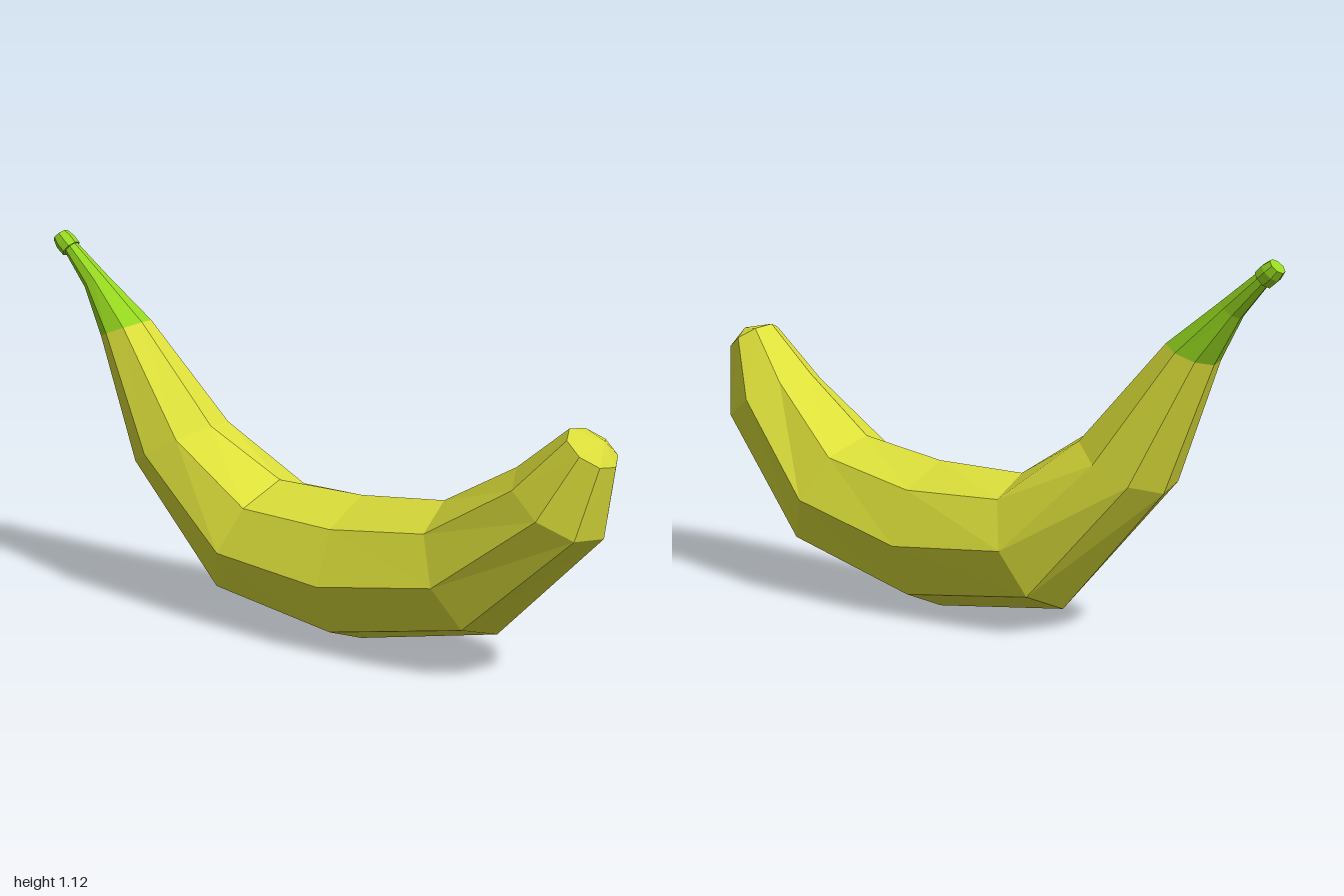
import * as THREE from 'three';

const SIDES = 8;

// Each ring: [outer x, outer y, inner x, inner y, centre z, roll]
function ringPoints([ox, oy, ix, iy, z, roll]) {
  const centre = new THREE.Vector3((ox + ix) / 2, (oy + iy) / 2, z);
  const radius = Math.hypot(ix - ox, iy - oy) / 2;
  const inward = new THREE.Vector3(ix - ox, iy - oy, 0).normalize();
  const points = [];
  for (let i = 0; i < SIDES; i++) {
    const a = (i / SIDES) * Math.PI * 2 - roll;
    points.push(centre.clone()
      .addScaledVector(inward, radius * Math.cos(a))
      .add(new THREE.Vector3(0, 0, radius * Math.sin(a))));
  }
  return points;
}

// Skin a row of rings, with an optional pointed or flat cap at either end
function loft(name, rings, color, startCap, endCap) {
  const loops = rings.map(ringPoints);
  const verts = [];
  const tri = (...pts) => pts.forEach((p) => verts.push(p.x, p.y, p.z));
  for (let k = 0; k < loops.length - 1; k++) {
    for (let i = 0; i < SIDES; i++) {
      const j = (i + 1) % SIDES;
      const [a, b, c, d] = [loops[k][i], loops[k][j], loops[k + 1][j], loops[k + 1][i]];
      tri(a, b, c);
      tri(a, c, d);
    }
  }
  const first = loops[0], last = loops[loops.length - 1];
  for (let i = 0; i < SIDES; i++) {
    const j = (i + 1) % SIDES;
    if (startCap) tri(new THREE.Vector3(...startCap), first[j], first[i]);
    if (endCap) tri(new THREE.Vector3(...endCap), last[i], last[j]);
  }
  const geometry = new THREE.BufferGeometry();
  geometry.setAttribute('position', new THREE.Float32BufferAttribute(verts, 3));
  geometry.computeVertexNormals();
  const mesh = new THREE.Mesh(geometry, new THREE.MeshStandardMaterial({ color, flatShading: true }));
  mesh.name = name;
  return mesh;
}

export function createModel() {
  const group = new THREE.Group();
  group.name = 'banana';
  const yellow = 0xdde03a, green = 0x96d820;

  // Ring shared by the peel and the stem, where the colour changes
  const collar = [-0.79, 0.815, -0.64, 0.875, 0.075, -0.13];

  // Curved yellow peel, ending in a blunt point
  group.add(loft('peel', [
    collar,
    [-0.65, 0.44, -0.38, 0.59, 0.057, -0.13],
    [-0.33, 0.065, -0.17, 0.445, 0.007, -0.03],
    [0.125, 0.003, 0.125, 0.449, 0, 0],
    [0.60, 0.12, 0.42, 0.49, 0, -0.03],
    [0.95, 0.48, 0.69, 0.65, 0.033, -0.14],
    [0.997, 0.70, 0.86, 0.79, 0.053, -0.12],
  ], yellow, null, [0.967, 0.77, 0.053]));

  // Tapering green stem
  group.add(loft('stem', [
    [-0.955, 1.05, -0.921, 1.084, 0.07, -0.13],
    [-0.87, 0.95, -0.81, 1.0, 0.07, -0.13],
    collar,
  ], green));

  // Small knob closing the stem
  group.add(loft('stemKnob', [
    [-1.0, 1.083, -0.962, 1.119, 0.07, -0.13],
    [-0.985, 1.06, -0.938, 1.106, 0.07, -0.13],
    [-0.96, 1.04, -0.917, 1.087, 0.07, -0.13],
  ], green, [-0.981, 1.101, 0.07], [-0.9385, 1.0635, 0.07]));

  return group;
}
